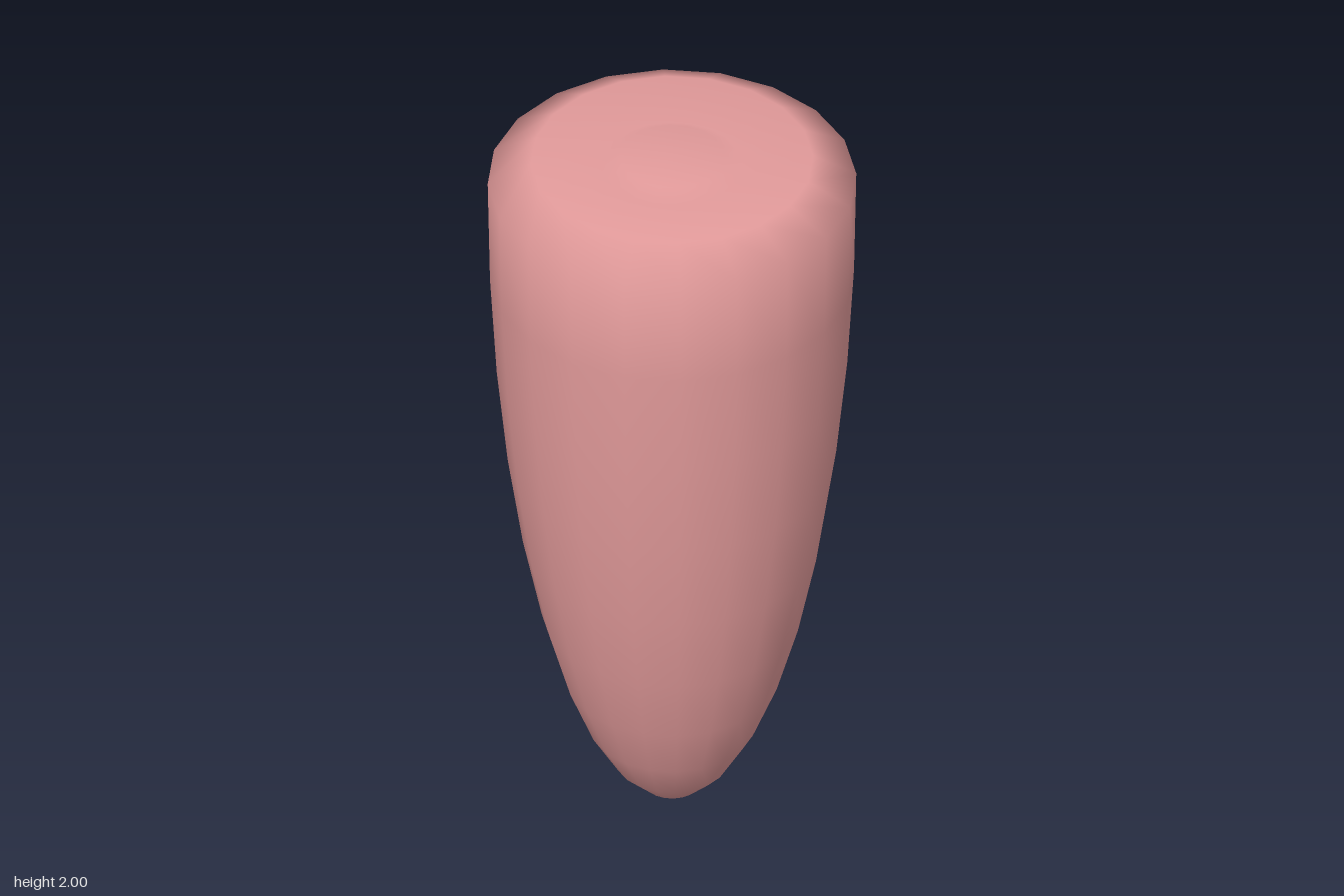
import * as THREE from 'three';

const RADIUS = 0.47;
const SHOULDER = 1.93; // height of the widest ring
const SIDES = 20;

export function createModel() {
  const group = new THREE.Group();
  const profile = [];

  // Long half-ellipsoid from the tip up to the widest ring
  for (let i = 0; i <= 10; i++) {
    const a = (i / 10) * Math.PI / 2;
    profile.push(new THREE.Vector2(RADIUS * Math.sin(a), SHOULDER * (1 - Math.cos(a))));
  }

  // Bevelled rim, shallow dip and raised button in the middle of the top
  for (const [r, y] of [[0.36, 1.99], [0.18, 1.975], [0.135, 2.0], [0, 2.0]]) {
    profile.push(new THREE.Vector2(r, y));
  }

  const body = new THREE.Mesh(
    new THREE.LatheGeometry(profile, SIDES),
    new THREE.MeshStandardMaterial({ color: 0xe39b9b })
  );
  body.name = 'taperedBody';
  group.add(body);
  return group;
}
